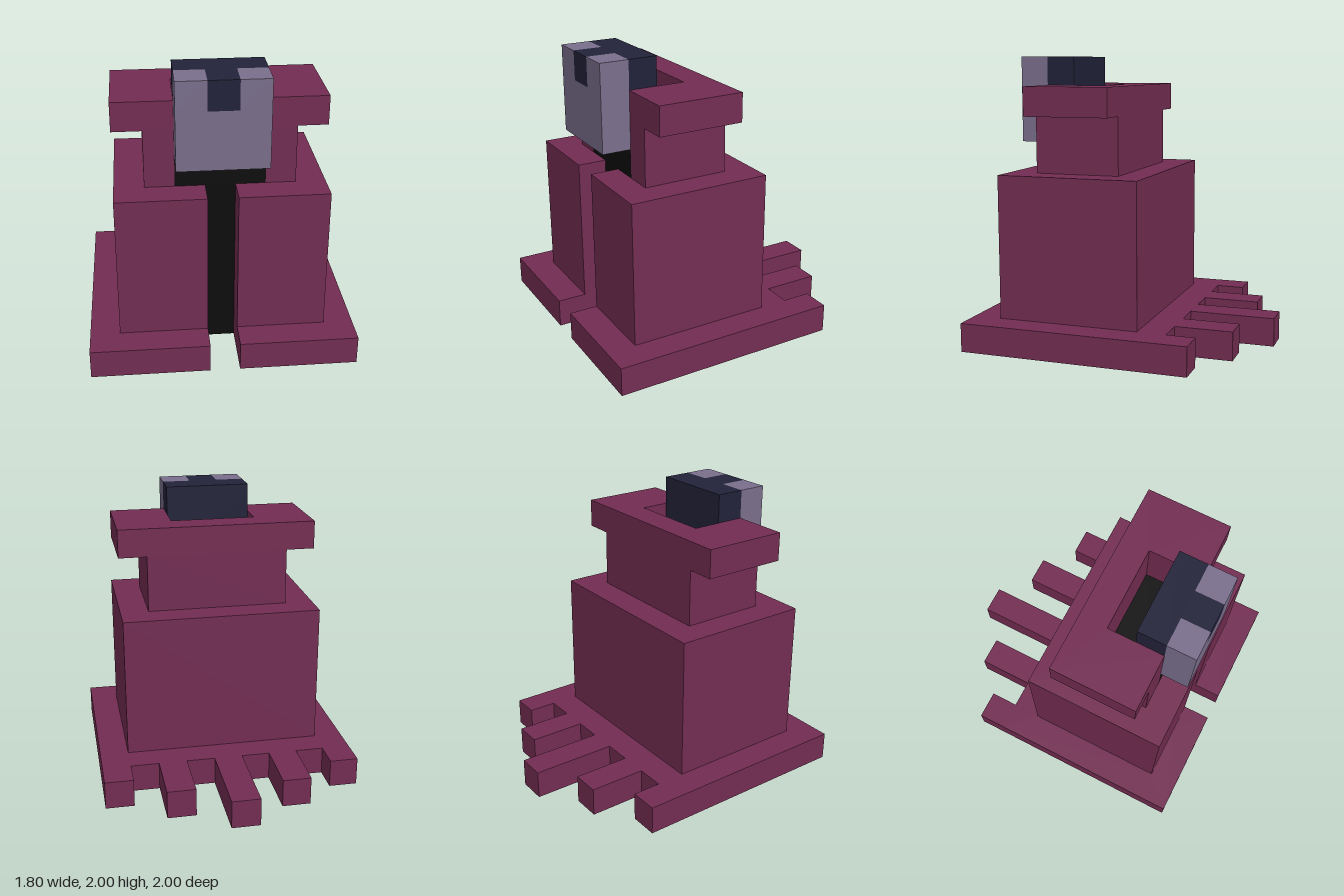
import * as THREE from 'three';

const flat = (name, color) => {
  const m = new THREE.MeshStandardMaterial({ color });
  m.name = name;
  return m;
};

export function createModel() {
  const group = new THREE.Group();
  const robe = flat('maroon robe', 0x732d52);
  const black = flat('black lining', 0x0d0d0d);
  const grey = flat('grey face', 0x7a6f8c);
  const navy = flat('navy hair', 0x22223a);

  const add = (name, geometry, material) => {
    const mesh = new THREE.Mesh(geometry, material);
    mesh.name = name;
    group.add(mesh);
  };

  // Box given by its extents on each axis
  const box = (name, material, [x0, x1], [y0, y1], [z0, z1]) => {
    const g = new THREE.BoxGeometry(x1 - x0, y1 - y0, z1 - z0);
    g.translate((x0 + x1) / 2, (y0 + y1) / 2, (z0 + z1) / 2);
    add(name, g, material);
  };

  // Slab from half a plan outline of [x, z] points, mirrored across x = 0
  const slab = (name, material, y0, y1, half) => {
    const mirrored = half.map(([x, z]) => [-x, z]).reverse();
    const points = [...half, ...mirrored].map(([x, z]) => new THREE.Vector2(x, -z));
    const g = new THREE.ExtrudeGeometry(new THREE.Shape(points), { depth: y1 - y0, bevelEnabled: false });
    g.rotateX(-Math.PI / 2).translate(0, y0, 0);
    add(name, g, material);
  };

  // Robe hem: open ring around the lining, split at the front
  slab('hem', robe, 0, 0.2, [
    [0.7, -0.2], [0.7, 0.8], [0.3, 0.8], [0.3, 0.6], [0.1, 0.6], [0.1, 1],
    [0.9, 1], [0.9, -0.4], [-0.0, -0.4],
  ].slice(0, 8).reverse().concat([[0.7, -0.2]]).slice(0, 8));

  // Lining seen from below
  slab('lining', black, 0, 0.2, [
    [0.3, 0.6], [0.3, 0.8], [0.7, 0.8], [0.7, -0.2],
  ]);

  // Rear of the hem, joining its two sides, with ragged strips trailing behind
  box('hemBack', robe, [-0.7, 0.7], [0, 0.2], [-0.4, -0.2]);
  [[0, -1], [0.4, -0.8], [0.8, -0.6]].forEach(([x, end]) => {
    for (const s of x ? [-1, 1] : [1]) {
      box('hemStrip', robe, [s * x - 0.1, s * x + 0.1], [0, 0.2], [end, -0.4]);
    }
  });

  // Body with a front slit showing the lining
  slab('body', robe, 0.2, 1.2, [[0.1, 0.2], [0.1, 0.8], [0.7, 0.8], [0.7, -0.2]]);
  box('slitLining', black, [-0.1, 0.1], [0.2, 1.2], [0.2, 0.6]);

  // Shoulders and wide collar around the neck opening
  slab('shoulders', robe, 1.2, 1.6, [[0.3, 0.2], [0.3, 0.6], [0.5, 0.6], [0.5, 0]]);
  slab('collar', robe, 1.6, 1.8, [[0.3, 0.2], [0.3, 0.6], [0.7, 0.6], [0.7, 0]]);
  box('neck', black, [-0.3, 0.3], [1.2, 1.4], [0.2, 0.6]);

  // Head: grey face in front, hair behind, with a forelock
  box('hair', navy, [-0.3, 0.3], [1.4, 2], [0.4, 0.6]);
  box('face', grey, [-0.3, 0.3], [1.4, 1.8], [0.6, 0.8]);
  for (const s of [-1, 1]) {
    box('temple', grey, [s * 0.2 - 0.1, s * 0.2 + 0.1], [1.8, 2], [0.6, 0.8]);
  }
  box('forelock', navy, [-0.1, 0.1], [1.8, 2], [0.6, 0.8]);

  return group;
}
